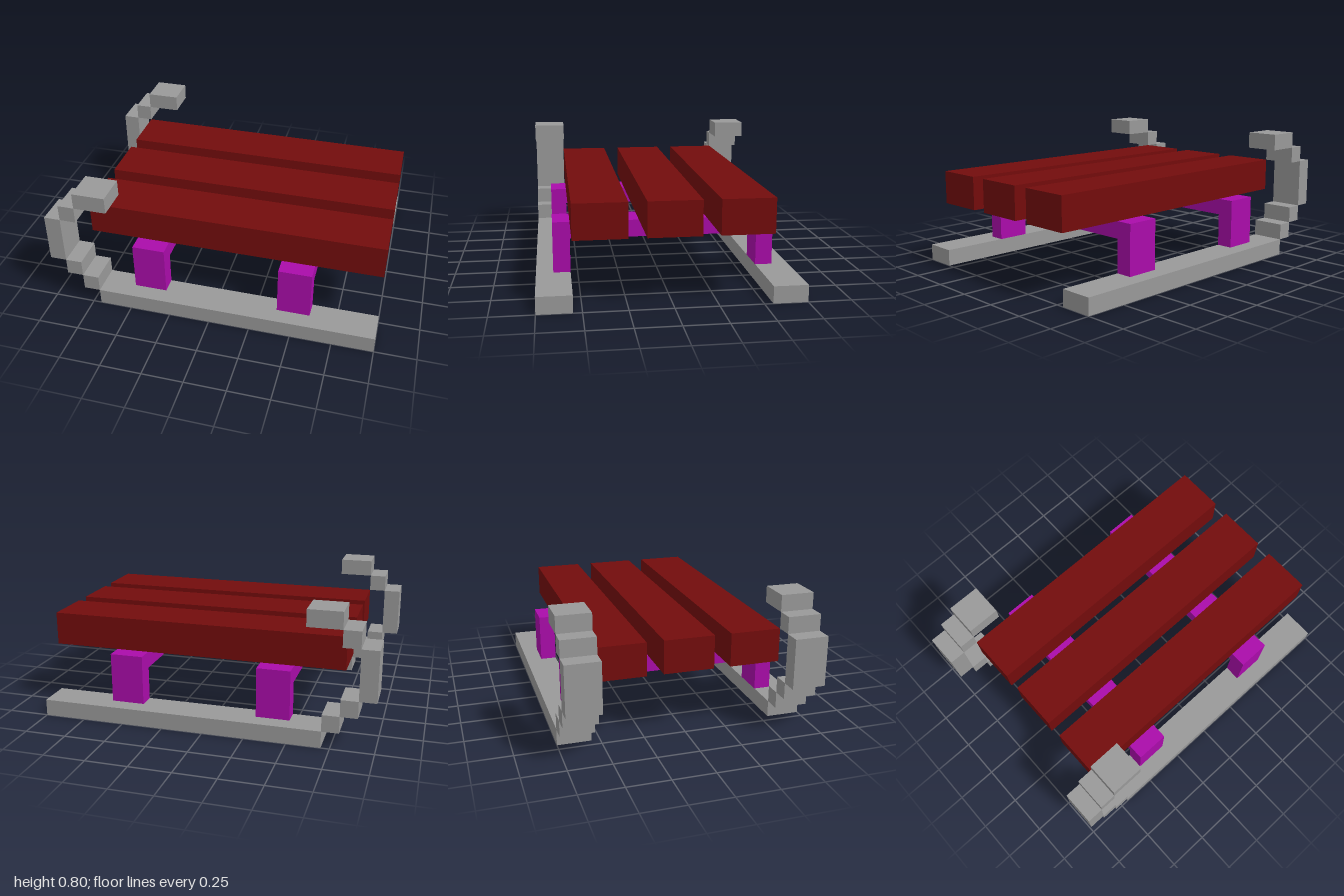
import * as THREE from 'three';

const material = (name, color) => {
  const m = new THREE.MeshStandardMaterial({ color });
  m.name = name;
  return m;
};

// Box given by its [min, max] range on each axis
function block(name, mat, [x0, x1], [y0, y1], [z0, z1]) {
  const mesh = new THREE.Mesh(new THREE.BoxGeometry(x1 - x0, y1 - y0, z1 - z0), mat);
  mesh.position.set((x0 + x1) / 2, (y0 + y1) / 2, (z0 + z1) / 2);
  mesh.name = name;
  return mesh;
}

export function createModel() {
  const steel = material('grey metal', 0x999999);
  const wood = material('dark red wood', 0x730c0c);
  const purple = material('purple paint', 0xaa0caa);
  const sled = new THREE.Group();
  sled.name = 'sled';

  // Runners with stepped curls at the -x end
  const curl = [
    [[-0.8, -0.7], [0.1, 0.2]],
    [[-0.9, -0.8], [0.2, 0.3]],
    [[-1, -0.9], [0.3, 0.6]],
    [[-0.9, -0.8], [0.6, 0.7]],
    [[-0.8, -0.6], [0.7, 0.8]],
  ];
  for (const side of [-1, 1]) {
    const z = side > 0 ? [0.55, 0.75] : [-0.75, -0.55];
    const runner = new THREE.Group();
    runner.name = side > 0 ? 'frontRunner' : 'backRunner';
    runner.add(block('runnerBar', steel, [-0.7, 1], [0, 0.1], z));
    curl.forEach(([x, y], i) => runner.add(block(`curlStep${i + 1}`, steel, x, y, z)));
    sled.add(runner);
  }

  // Arched supports: a crossbeam on two legs
  for (const x of [[-0.5, -0.3], [0.4, 0.6]]) {
    const support = new THREE.Group();
    support.name = x[0] < 0 ? 'curlEndSupport' : 'tailEndSupport';
    support.add(
      block('crossbeam', purple, x, [0.3, 0.4], [-0.65, 0.65]),
      block('frontLeg', purple, x, [0.1, 0.3], [0.55, 0.65]),
      block('backLeg', purple, x, [0.1, 0.3], [-0.65, -0.55]),
    );
    sled.add(support);
  }

  // Seat planks
  [-0.4, 0, 0.4].forEach((z, i) =>
    sled.add(block(`seatPlank${i + 1}`, wood, [-0.8, 1], [0.4, 0.6], [z - 0.15, z + 0.15])));

  return sled;
}
